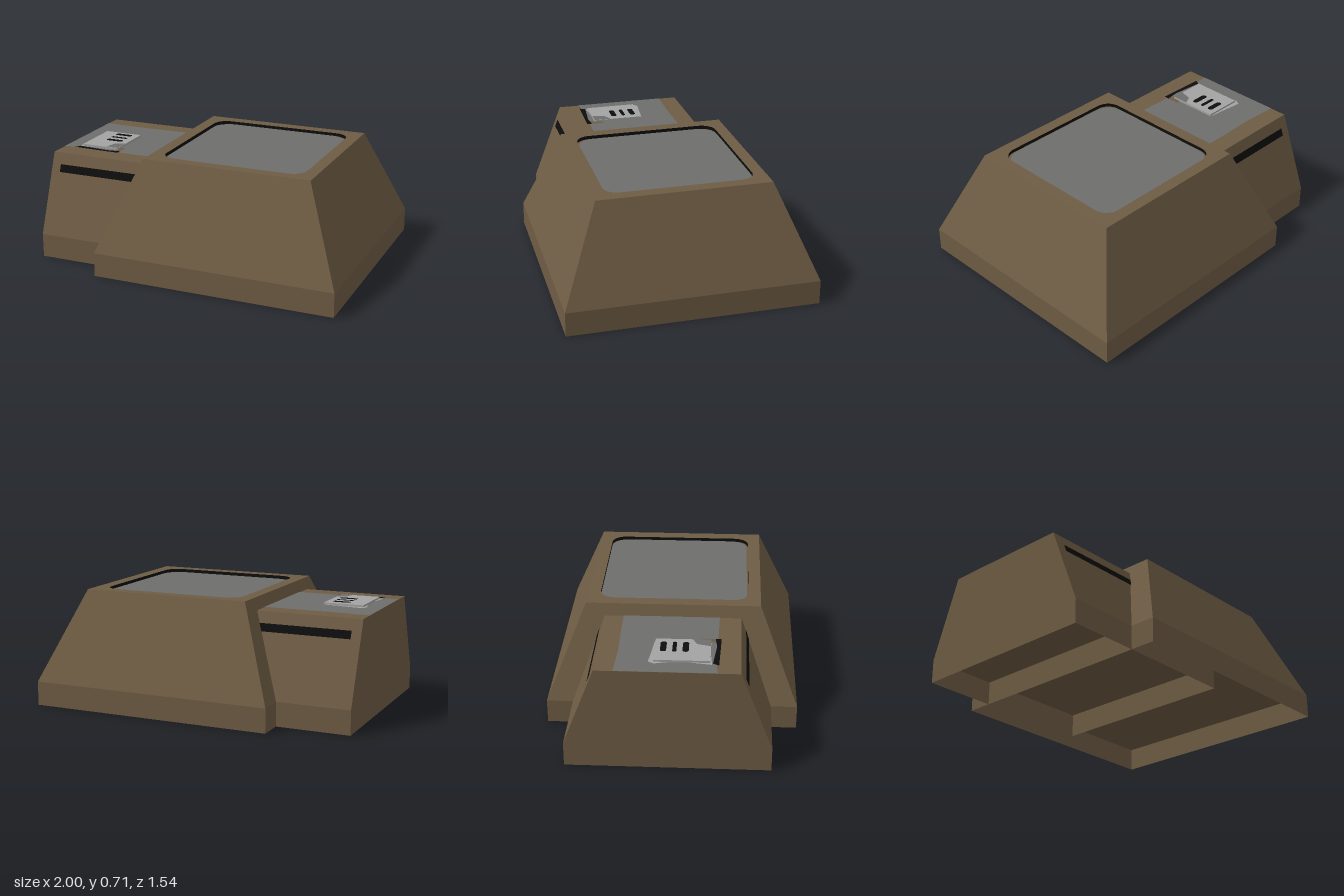
import * as THREE from 'three';

export function createModel() {
  const group = new THREE.Group();
  const mat = (name, color, side = THREE.DoubleSide) => {
    const m = new THREE.MeshStandardMaterial({ color, side });
    m.name = name;
    return m;
  };
  const brown = mat('brown', 0x6e5c44);
  const grey = mat('grey', 0x6e6e6c);
  const paleGrey = mat('pale grey', 0xa3a3a3);
  const black = mat('black', 0x0d0d0d);

  function add(name, geometry, material) {
    const mesh = new THREE.Mesh(geometry, material);
    mesh.name = name;
    group.add(mesh);
    return mesh;
  }

  // Flat quads, corners counter-clockwise seen from outside
  function quads(list) {
    const pos = [];
    for (const [a, b, c, d] of list) pos.push(...a, ...b, ...c, ...a, ...c, ...d);
    const g = new THREE.BufferGeometry();
    g.setAttribute('position', new THREE.Float32BufferAttribute(pos, 3));
    g.computeVertexNormals();
    return g;
  }

  // Thin-walled shell from rectangular rings [y, x0, x1, z], hollow below the second ring
  function shell(rings, closedTop) {
    const loops = rings.map(([y, x0, x1, z]) => [[x0, y, z], [x1, y, z], [x1, y, -z], [x0, y, -z]]);
    const faces = [];
    for (let r = 0; r < loops.length - 1; r++) {
      for (let i = 0; i < 4; i++) {
        const j = (i + 1) % 4;
        faces.push([loops[r][i], loops[r][j], loops[r + 1][j], loops[r + 1][i]]);
      }
    }
    faces.push([...loops[1]].reverse());
    if (closedTop) faces.push(loops[loops.length - 1]);
    return quads(faces);
  }

  // Flat patch lying at height y, from [x, z] points
  function patch(points, y) {
    const g = new THREE.ShapeGeometry(new THREE.Shape(points.map(([x, z]) => new THREE.Vector2(x, -z))));
    return g.rotateX(-Math.PI / 2).translate(0, y, 0);
  }

  function roundedRect(x0, x1, y0, y1, r, Type = THREE.Shape) {
    const s = new Type();
    s.absarc(x1 - r, y1 - r, r, 0, Math.PI / 2);
    s.absarc(x0 + r, y1 - r, r, Math.PI / 2, Math.PI);
    s.absarc(x0 + r, y0 + r, r, Math.PI, Math.PI * 1.5);
    s.absarc(x1 - r, y0 + r, r, Math.PI * 1.5, Math.PI * 2);
    s.closePath();
    return s;
  }

  // Bodies
  const top = 0.715, deck = 0.645;
  add('mainBody', shell([[0, -0.54, 1, 0.768], [0.15, -0.54, 1, 0.768], [top, -0.308, 0.762, 0.533]], false), brown);
  add('sideBody', shell([[0, -1, 0.22, 0.607], [0.15, -1, 0.22, 0.607], [deck, -1, 0.22, 0.417]], true), brown);

  // Top frame with a shallow recess
  const frame = new THREE.Shape([[-0.308, -0.533], [0.762, -0.533], [0.762, 0.533], [-0.308, 0.533]]
    .map(([x, y]) => new THREE.Vector2(x, y)));
  frame.holes.push(roundedRect(-0.23, 0.685, -0.457, 0.457, 0.09, THREE.Path));
  const depth = 0.022;
  add('topFrame', new THREE.ExtrudeGeometry(frame, { depth, bevelEnabled: false, curveSegments: 8 })
    .rotateX(-Math.PI / 2).translate(0, top - depth, 0), [brown, black]);
  add('recessFloor', patch([[-0.25, 0.48], [0.7, 0.48], [0.7, -0.48], [-0.25, -0.48]], top - depth), brown);
  add('topPanel', new THREE.ShapeGeometry(roundedRect(-0.225, 0.683, -0.448, 0.457, 0.11), 8)
    .rotateX(-Math.PI / 2).translate(0, top - depth + 0.003, 0), grey);

  // Long slots on the two slopes of the side body
  const slopeZ = (y) => 0.607 - 0.19 * (y - 0.15) / 0.495 + 0.003;
  for (const s of [1, -1]) {
    const corners = [[-0.94, 0.53], [-0.3, 0.53], [-0.3, 0.577], [-0.94, 0.577]]
      .map(([x, y]) => [x, y, s * slopeZ(y)]);
    add(s > 0 ? 'frontSlot' : 'backSlot', quads([s > 0 ? corners : corners.reverse()]), black);
  }

  // Deck panel and worn patches
  add('deckPanel', patch([[-1, 0.285], [-0.85, 0.27], [-0.65, 0.28], [-0.3, 0.285],
    [-0.3, -0.3], [-0.5, -0.3], [-0.75, -0.295], [-1, -0.305]], deck + 0.002), grey);
  add('deckPalePatch', patch([[-0.91, 0.25], [-0.64, 0.23], [-0.65, -0.09], [-0.76, -0.1],
    [-0.89, -0.115], [-0.91, -0.08], [-0.88, 0.05]], deck + 0.004), paleGrey);
  add('deckBrownPatch', patch([[-0.65, 0.28], [-0.61, 0.28], [-0.61, 0.18], [-0.65, 0.2]], deck + 0.005), brown);
  add('deckBlackStrip', patch([[-0.92, 0.29], [-0.78, 0.295], [-0.61, 0.3], [-0.61, 0.265],
    [-0.7, 0.275], [-0.9, 0.255]], deck + 0.006), black);

  // Raised control plate with three slots
  add('controlPlate', new THREE.BoxGeometry(0.25, 0.016, 0.325).translate(-0.765, deck + 0.008, 0.078), paleGrey);
  add('controlPlateCorner', patch([[-0.72, 0.24], [-0.64, 0.24], [-0.64, 0.13], [-0.7, 0.16]], deck + 0.018), grey);
  [-0.035, 0.03, 0.095].forEach((z, i) => {
    const h = i === 1 ? 0.012 : 0.018;
    add('controlSlot' + (i + 1), new THREE.ShapeGeometry(roundedRect(-0.795, -0.68, -h, h, h * 0.9), 4)
      .rotateX(-Math.PI / 2).translate(0, deck + 0.019, z), black);
  });

  // Dark mark on the inner end wall underneath
  add('undersideMark', quads([
    [[0.223, 0.02, 0.57], [0.223, 0.06, 0], [0.223, 0.09, 0], [0.223, 0.14, 0.57]],
    [[0.223, 0.06, 0], [0.223, 0.02, -0.56], [0.223, 0.13, -0.56], [0.223, 0.09, 0]],
  ]), black);

  return group;
}
